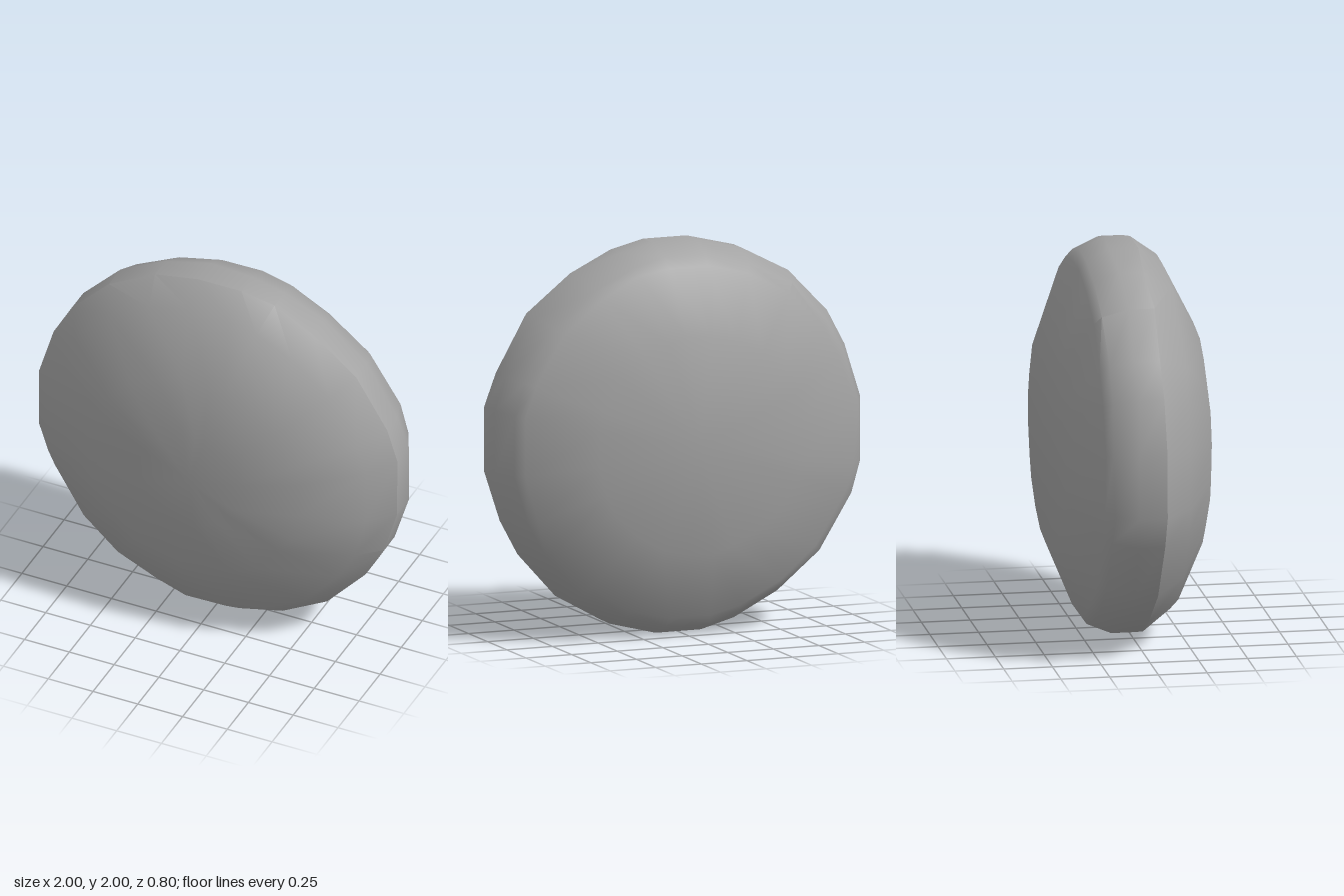
import * as THREE from 'three';
import { toCreasedNormals } from 'three/addons/utils/BufferGeometryUtils.js';

// Rim outline, clockwise from the top: x, y about the centre of the stone
const outline = [
  [-0.11, 1], [0.13, 1], [0.31, 0.96], [0.53, 0.85], [0.77, 0.66], [0.94, 0.37],
  [1, 0.2], [1, -0.13], [0.92, -0.39], [0.82, -0.57], [0.61, -0.8], [0.36, -0.94],
  [0.12, -1], [-0.13, -1], [-0.31, -0.95], [-0.55, -0.83], [-0.77, -0.65], [-0.95, -0.35],
  [-1, -0.19], [-1, 0.14], [-0.92, 0.41], [-0.82, 0.59], [-0.61, 0.81], [-0.36, 0.94],
];

// Rings from front to back: scale of the outline, z, wobble of scale, wobble of z
const rings = [
  [0.29, 0.4, 0.03, 0.006],
  [0.6, 0.35, 0.03, 0.012],
  [0.905, 0.19, 0.015, 0.015],
  [1, 0.05, 0, 0.02],
  [1, -0.1, 0, 0.02],
  [0.95, -0.22, 0.01, 0.012],
  [0.905, -0.26, 0.012, 0.01],
  [0.57, -0.4, 0.02, 0],
];

// Small seeded generator for the hewn irregularity
function seeded(seed) {
  return () => {
    seed = (seed * 16807) % 2147483647;
    return seed / 2147483647;
  };
}

function stoneGeometry() {
  const random = seeded(71);
  const n = outline.length;
  const positions = [];
  const index = [];

  for (const [scale, z, scaleWobble, zWobble] of rings) {
    for (const [x, y] of outline) {
      const s = scale - scaleWobble * random();
      positions.push(x * s, 1 + y * s, z - Math.sign(z) * zWobble * random());
    }
  }
  const front = positions.length / 3;
  positions.push(0, 1, 0.4, 0, 1, -0.4);

  // Bands between rings
  for (let r = 0; r < rings.length - 1; r++) {
    for (let i = 0; i < n; i++) {
      const a = r * n + i;
      const b = r * n + (i + 1) % n;
      index.push(a, b, a + n, b, b + n, a + n);
    }
  }
  // Front and back caps
  const last = (rings.length - 1) * n;
  for (let i = 0; i < n; i++) {
    const j = (i + 1) % n;
    index.push(front, j, i, front + 1, last + i, last + j);
  }

  const geometry = new THREE.BufferGeometry();
  geometry.setAttribute('position', new THREE.Float32BufferAttribute(positions, 3));
  geometry.setIndex(index);
  return toCreasedNormals(geometry, 0.6);
}

export function createModel() {
  const stoneGrey = new THREE.MeshStandardMaterial({ color: 0xa3a3a3 });
  stoneGrey.name = 'stone grey';

  const stone = new THREE.Mesh(stoneGeometry(), stoneGrey);
  stone.name = 'flatStone';

  const group = new THREE.Group();
  group.name = 'stoneDisc';
  group.add(stone);
  return group;
}
